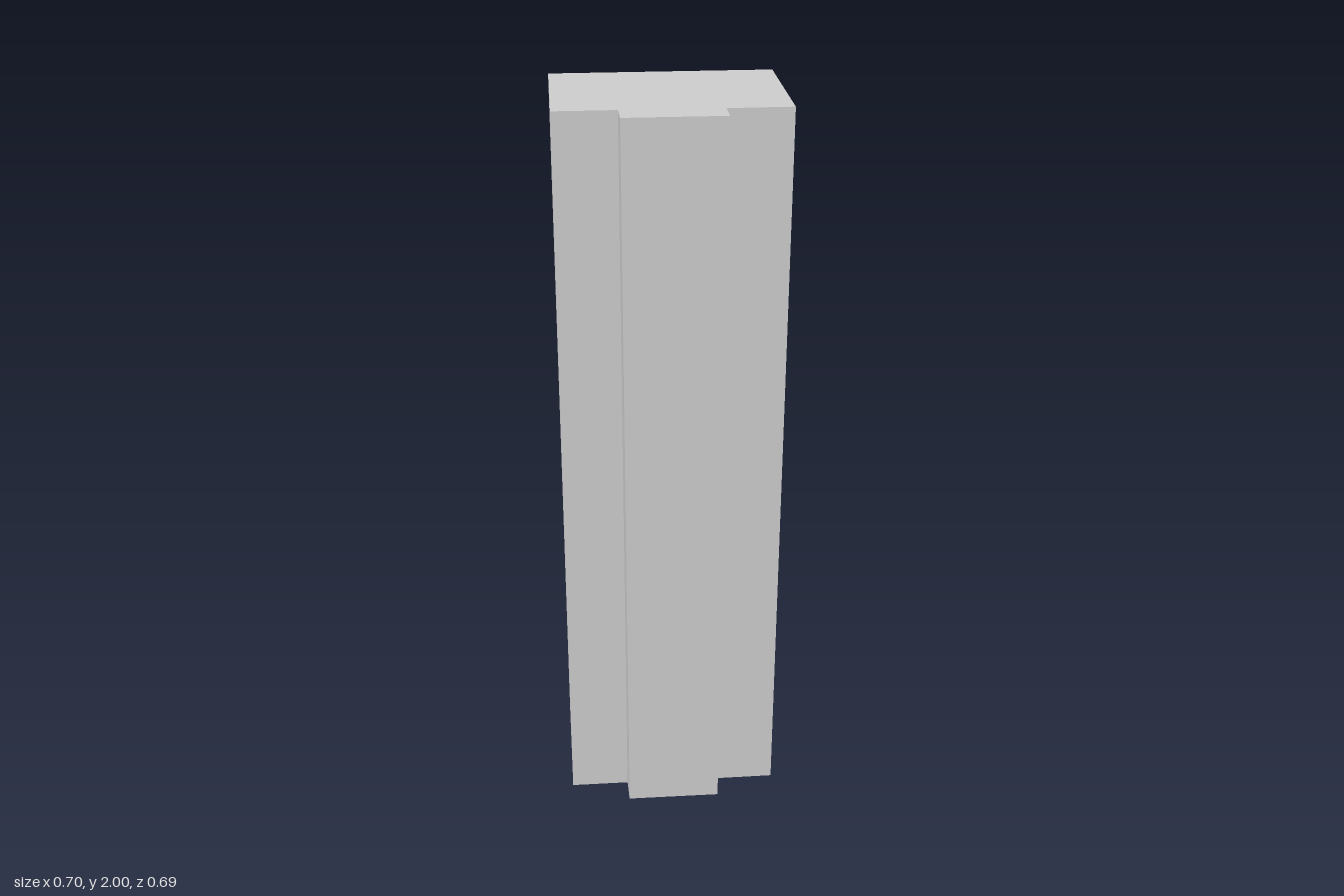
import * as THREE from 'three';

const HEIGHT = 2;

// Floor plan as [x, z] corners: a turned rectangle with a projecting bay
const PLAN = [
  [0.071, -0.347], // back corner
  [-0.349, 0.062], // right corner
  [-0.073, 0.345], // front corner
  [0.042, 0.233], [0.095, 0.285], // bay, one side
  [0.28, 0.106], [0.229, 0.054], // bay, other side
  [0.348, -0.063], // left corner
];

export function createModel() {
  const group = new THREE.Group();
  group.name = 'tower';

  // Shape y becomes -z once the extrusion is stood upright
  const shape = new THREE.Shape(PLAN.map(([x, z]) => new THREE.Vector2(x, -z)));
  const geometry = new THREE.ExtrudeGeometry(shape, { depth: HEIGHT, bevelEnabled: false });
  geometry.rotateX(-Math.PI / 2);

  const body = new THREE.Mesh(
    geometry,
    new THREE.MeshStandardMaterial({ color: 0xcccccc, flatShading: true })
  );
  body.name = 'towerBody';
  group.add(body);
  return group;
}
